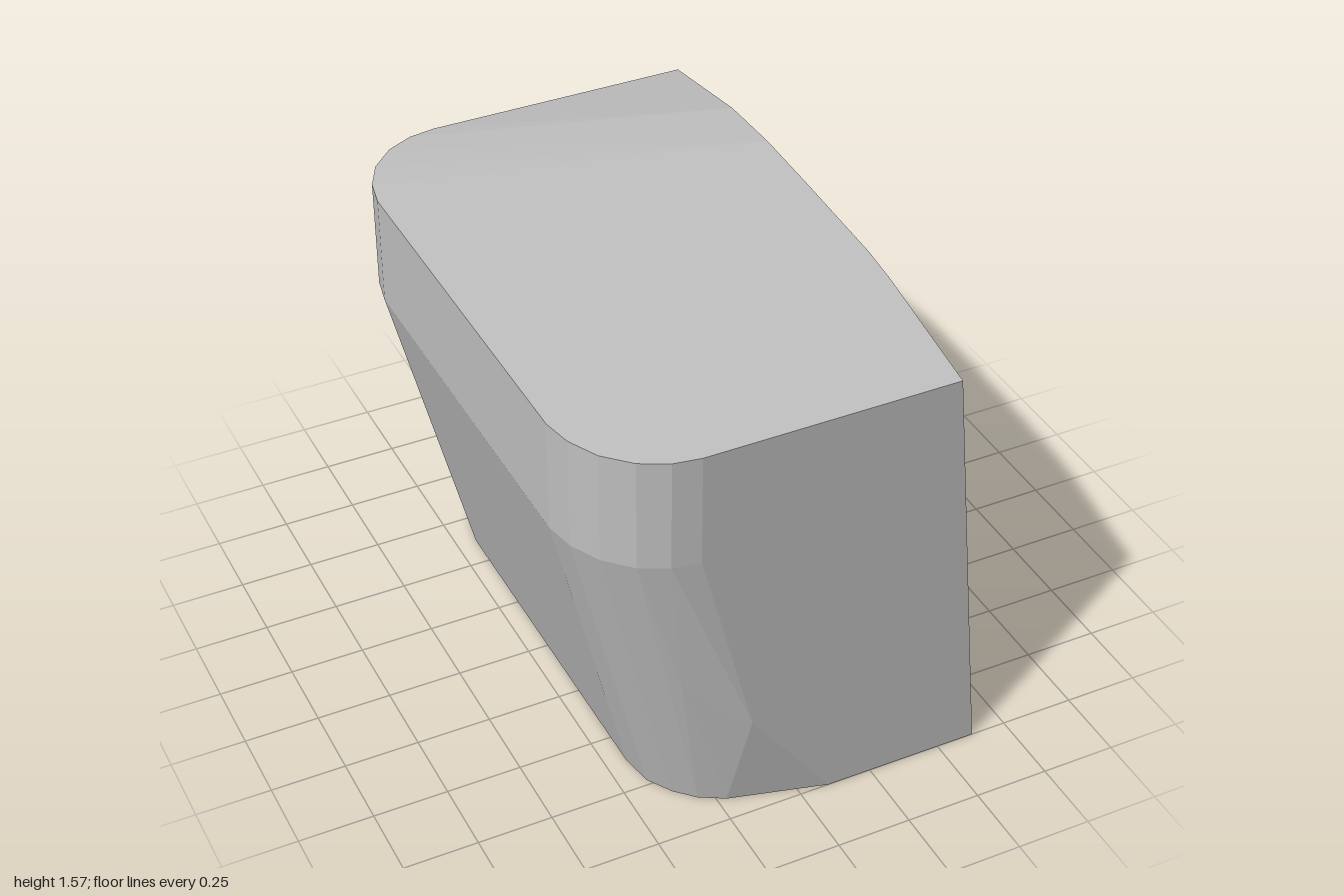
import * as THREE from 'three';
import { ConvexGeometry } from 'three/addons/geometries/ConvexGeometry.js';

// The sloping flat side: x for a given height and depth
const sideX = (y, z) => 0.66 - 0.03 * z - 0.0985 * y;

export function createModel() {
  const model = new THREE.Group();
  const grey = new THREE.MeshStandardMaterial({ color: 0xc0c0c0 });
  grey.name = 'plain grey';

  const points = [];
  const add = (x, y, z) => points.push(new THREE.Vector3(x, y, z));

  // Rounded corner outlines [x, z], mirrored front to back
  const upperCorner = [[-0.69, 0.66], [-0.67, 0.76], [-0.62, 0.86], [-0.54, 0.94], [-0.45, 0.985], [-0.36, 1]];
  const lowerCorner = [[-0.43, 0.62], [-0.41, 0.73], [-0.36, 0.81], [-0.3, 0.87], [-0.22, 0.915], [0.1, 1]];

  for (const s of [1, -1]) {
    // Upright band at the top, then a taper to the base
    for (const [x, z] of upperCorner) {
      add(x, 1.46, z * s);
      add(x, 1.08, z * s);
    }
    for (const [x, z] of lowerCorner) add(x, 0, z * s);
    // Break where the base corner facet meets the end face
    add(-0.18, 0.38, s);
    add(-0.39, 0.56, 0.93 * s);
    // Corners of the flat side
    add(sideX(0, s), 0, s);
    add(sideX(1.46, s), 1.46, s);
  }

  // Arched crest along the top of the flat side
  for (const [y, z] of [[1.55, 0.55], [1.565, 0.42], [1.571, 0], [1.571, -0.28], [1.55, -0.55]]) {
    add(sideX(y, z), y, z);
  }

  const block = new THREE.Mesh(new ConvexGeometry(points), grey);
  block.name = 'taperedBlock';
  model.add(block);
  return model;
}
